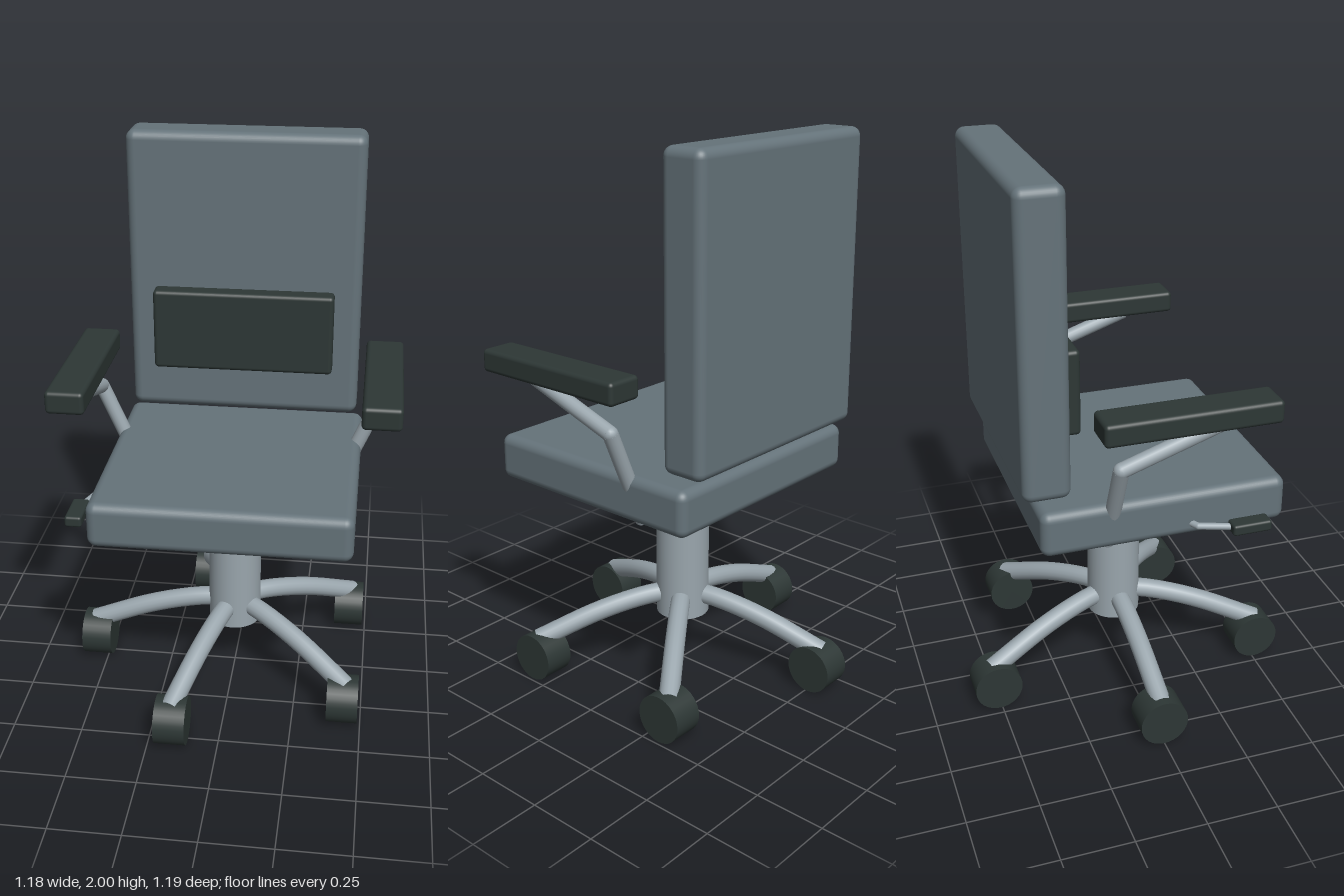
import * as THREE from 'three';
import { RoundedBoxGeometry } from 'three/addons/geometries/RoundedBoxGeometry.js';

const mat = (name, color) => {
  const m = new THREE.MeshStandardMaterial({ color });
  m.name = name;
  return m;
};

export function createModel() {
  const fabric = mat('slate fabric', 0x65737a);
  const dark = mat('dark rubber', 0x2d3735);
  const metal = mat('grey metal', 0x9aa6ad);
  const chair = new THREE.Group();
  chair.name = 'officeChair';
  const V = (x, y, z) => new THREE.Vector3(x, y, z);

  const add = (name, geo, material, parent = chair) => {
    const mesh = new THREE.Mesh(geo, material);
    mesh.name = name;
    parent.add(mesh);
    return mesh;
  };

  // Rounded box given by its extents on each axis
  const pad = (name, [x0, x1], [y0, y1], [z0, z1], r, material) => {
    const geo = new RoundedBoxGeometry(x1 - x0, y1 - y0, z1 - z0, 4, r);
    geo.translate((x0 + x1) / 2, (y0 + y1) / 2, (z0 + z1) / 2);
    return add(name, geo, material);
  };

  // Straight capped rods through the points, with ball joints at the bends
  const bentRod = (name, points, r) => {
    const group = new THREE.Group();
    group.name = name;
    for (let i = 0; i + 1 < points.length; i++) {
      const [a, b] = [points[i], points[i + 1]];
      const rod = add('rod', new THREE.CylinderGeometry(r, r, a.distanceTo(b), 16), metal, group);
      rod.position.copy(a).lerp(b, 0.5);
      rod.quaternion.setFromUnitVectors(V(0, 1, 0), b.clone().sub(a).normalize());
      if (i > 0) add('joint', new THREE.SphereGeometry(r, 16, 10), metal, group).position.copy(a);
    }
    chair.add(group);
  };

  // Cushions
  pad('seat', [-0.45, 0.45], [0.755, 0.92], [-0.39, 0.48], 0.033, fabric);
  pad('backrest', [-0.425, 0.425], [0.955, 2], [-0.44, -0.275], 0.033, fabric);
  pad('lumbarCushion', [-0.33, 0.33], [1.135, 1.435], [-0.32, -0.215], 0.015, dark);

  // Armrests and their bent supports
  for (const s of [-1, 1]) {
    pad('armrest', [s * 0.52 - 0.066, s * 0.52 + 0.066], [1.205, 1.285], [-0.215, 0.39], 0.015, dark);
    bentRod('armSupport', [
      V(s * 0.365, 0.735, -0.14), V(s * 0.515, 1.085, -0.14), V(s * 0.515, 1.205, 0.21),
    ], 0.027);
  }

  // Height lever on the right side
  bentRod('leverRod', [V(-0.38, 0.8, 0.1), V(-0.47, 0.8, 0.15), V(-0.515, 0.8, 0.28)], 0.012);
  pad('leverHandle', [-0.545, -0.485], [0.78, 0.82], [0.25, 0.39], 0.01, dark);

  // Central column
  add('column', new THREE.CylinderGeometry(0.098, 0.098, 0.56, 32), metal).position.y = 0.49;

  // Five arched legs, each with a wheel that rolls along z
  const legCurve = new THREE.CatmullRomCurve3([
    V(0.04, 0.29, 0), V(0.15, 0.278, 0), V(0.32, 0.235, 0), V(0.55, 0.145, 0),
  ]);
  const legGeo = new THREE.TubeGeometry(legCurve, 12, 0.036, 16);
  const wheelGeo = new THREE.CylinderGeometry(0.087, 0.087, 0.112, 32).rotateZ(Math.PI / 2);
  for (let i = 0; i < 5; i++) {
    const a = Math.PI + (i * Math.PI * 2) / 5;
    add('leg', legGeo, metal).rotation.y = -a;
    add('wheel', wheelGeo, dark).position.set(Math.cos(a) * 0.535, 0.087, Math.sin(a) * 0.535);
  }
  return chair;
}
